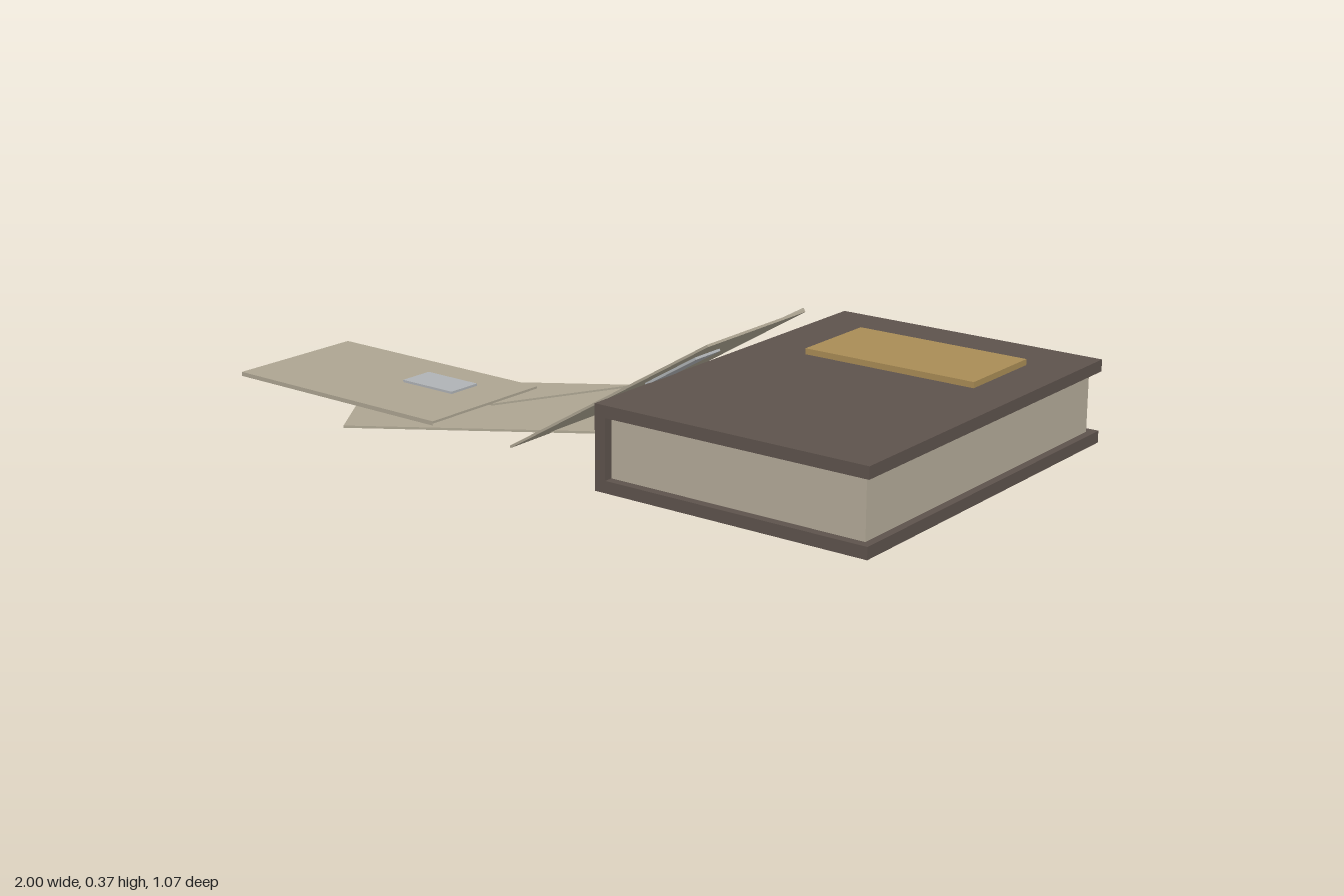
import * as THREE from 'three';

const paint = (color) => new THREE.MeshStandardMaterial({ color, flatShading: true });

function addBox(parent, name, material, [x0, x1], [y0, y1], [z0, z1]) {
  const mesh = new THREE.Mesh(new THREE.BoxGeometry(x1 - x0, y1 - y0, z1 - z0), material);
  mesh.position.set((x0 + x1) / 2, (y0 + y1) / 2, (z0 + z1) / 2);
  mesh.name = name;
  parent.add(mesh);
}

// Closed book lying flat, spine towards -x
function makeBook() {
  const book = new THREE.Group();
  book.name = 'book';
  const cover = paint(0x5d524c);
  const depth = [-0.54, 0.49];
  addBox(book, 'bottomCover', cover, [0.26, 1], [0, 0.03], depth);
  addBox(book, 'topCover', cover, [0.26, 1], [0.18, 0.21], depth);
  addBox(book, 'spine', cover, [0.26, 0.29], [0.03, 0.18], depth);
  addBox(book, 'pages', paint(0xb3aa98), [0.29, 0.98], [0.03, 0.18], [-0.515, 0.467]);
  addBox(book, 'titlePlate', paint(0xa88b55), [0.41, 0.88], [0.21, 0.225], [-0.385, -0.14]);
  return book;
}

// Envelope: triangular flap on its upper face, stamp on its lower face
function makeEnvelope(name) {
  const envelope = new THREE.Group();
  envelope.name = name;
  const paper = paint(0xaca491);
  const l = 0.3425, w = 0.1935, t = 0.003;
  addBox(envelope, 'envelopeBody', paper, [-l, l], [-t, t], [-w, w]);
  addBox(envelope, 'stamp', paint(0xafb2b5), [0.05, 0.22], [-t - 0.006, -t], [0.005, 0.1]);

  const triangle = new THREE.Shape();
  triangle.moveTo(-l, w).lineTo(0, 0).lineTo(l, w).closePath();
  const geometry = new THREE.ExtrudeGeometry(triangle, { depth: 0.005, bevelEnabled: false });
  geometry.rotateX(-Math.PI / 2).translate(0, t, 0);
  const flap = new THREE.Mesh(geometry, paper);
  flap.name = 'envelopeFlap';
  envelope.add(flap);
  return envelope;
}

export function createModel() {
  const model = new THREE.Group();
  model.name = 'bookAndLetters';
  model.add(makeBook());

  // Position and rotation of each envelope
  const placements = [
    ['faceUpEnvelope', [-0.655, 0.032, 0.205], [Math.PI, -0.022, 0]],
    ['middleEnvelope', [-0.32, 0.017, 0.18], [0, 0.583, 0]],
    ['leaningEnvelope', [0.2, 0.183, 0.183], [0, 0, 0.543]],
  ];
  for (const [name, position, rotation] of placements) {
    const envelope = makeEnvelope(name);
    envelope.position.set(...position);
    envelope.rotation.set(...rotation, 'YXZ');
    model.add(envelope);
  }
  return model;
}
